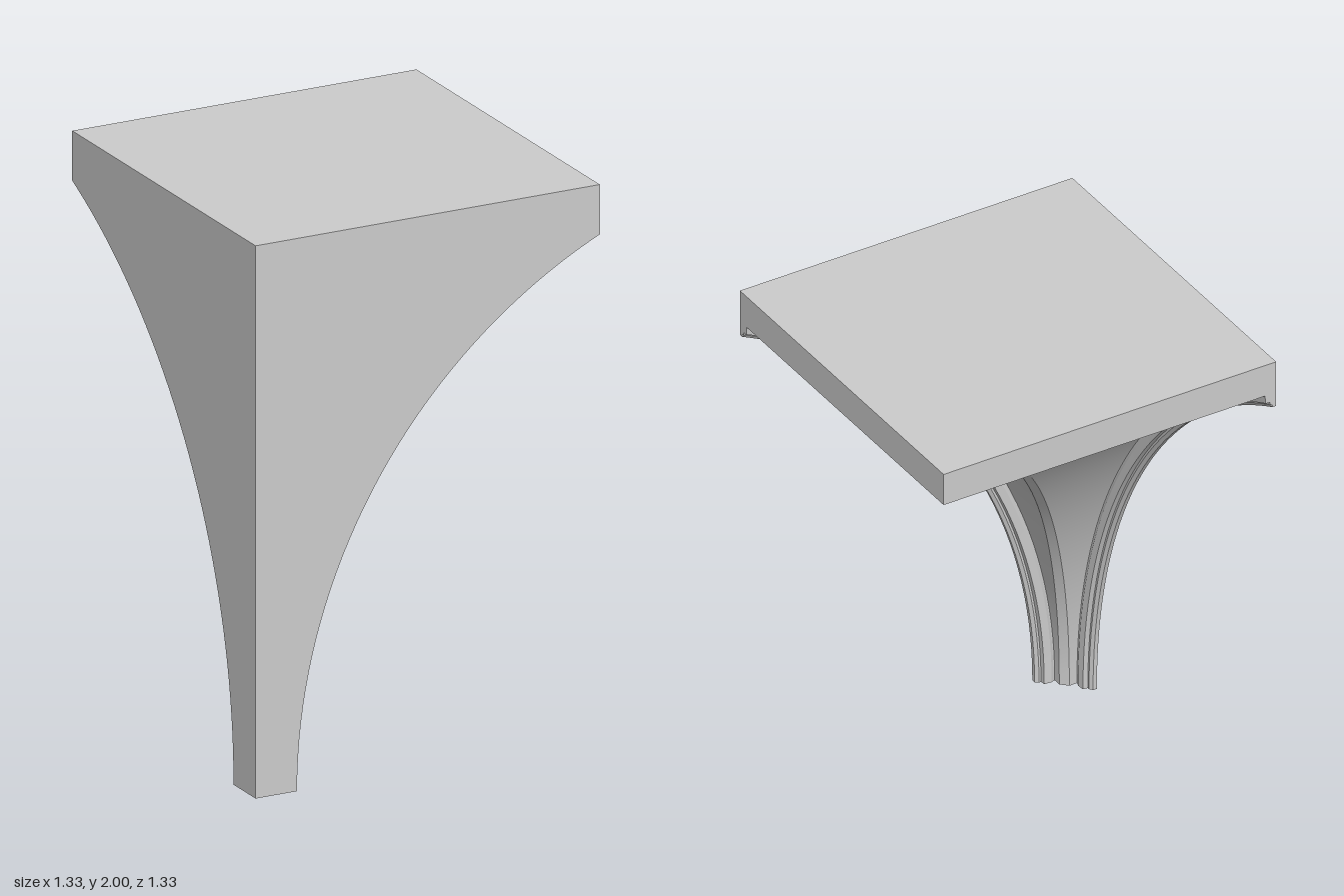
import * as THREE from 'three';
import { toCreasedNormals } from 'three/addons/utils/BufferGeometryUtils.js';

const H = 0.665;        // half width of the square bay
const CENTRE = 1.495;   // arch centre, measured along the wall
const R = 2;            // arch radius
const SLAB_Y = 1.875;   // underside of the slab

// Position along the wall of an arc set back by d, at height y
const arc = (d, y) => Math.min(H, CENTRE - Math.sqrt((R + d) ** 2 - y * y));

// Heights of the cross-sections, including where each step reaches the wall end
function heights(setbacks) {
  const ys = [];
  const top = Math.asin(SLAB_Y / R), n = 40;
  for (let i = 0; i <= n; i++) ys.push(R * Math.sin((top * i) / n));
  for (const d of setbacks) {
    const y = Math.sqrt((R + d) ** 2 - (CENTRE - H) ** 2);
    if (y < SLAB_Y - 0.001) ys.push(y);
  }
  return [...new Set(ys)].sort((a, b) => a - b);
}

// Closed solid from horizontal outlines: section(y) returns [x, z] pairs
function loft(ys, section) {
  const rings = ys.map((y) => section(y).map(([x, z]) => new THREE.Vector3(x, y, z)));
  const tris = [];
  const m = rings[0].length;
  for (let j = 0; j < rings.length - 1; j++) {
    for (let i = 0; i < m; i++) {
      const k = (i + 1) % m;
      const a = rings[j][i], b = rings[j][k], c = rings[j + 1][k], d = rings[j + 1][i];
      tris.push([a, b, c], [a, c, d]);
    }
  }
  // bottom cap; the top is buried in the slab
  const base = rings[0];
  const flat = base.map((p) => new THREE.Vector2(p.x, p.z));
  const ccw = THREE.ShapeUtils.area(flat) > 0;
  for (const f of THREE.ShapeUtils.triangulateShape(flat, [])) {
    const t = f.map((i) => base[i]);
    const [p, q, r] = t;
    const down = (q.x - p.x) * (r.z - p.z) - (q.z - p.z) * (r.x - p.x) > 0;
    tris.push(down ? t : [p, r, q]);
  }
  // side faces turn outward according to the outline direction
  const sides = (rings.length - 1) * m * 2;
  const pos = [];
  tris.forEach(([a, b, c], i) => {
    const order = i < sides && ccw ? [a, c, b] : [a, b, c];
    for (const p of order) pos.push(p.x, p.y, p.z);
  });
  const g = new THREE.BufferGeometry();
  g.setAttribute('position', new THREE.Float32BufferAttribute(pos, 3));
  return toCreasedNormals(g, 0.3);
}

export function createModel() {
  const group = new THREE.Group();
  const mat = new THREE.MeshStandardMaterial({ color: 0xcccccc });
  const add = (geo, name) => {
    const mesh = new THREE.Mesh(geo, mat);
    mesh.name = name;
    group.add(mesh);
    return mesh;
  };

  // Flat slab on top
  add(new THREE.BoxGeometry(2 * H, 2 - SLAB_Y, 2 * H), 'slab').position.y = (2 + SLAB_Y) / 2;

  // Wall arches with stepped moulding: [setback, distance from wall face]
  const moulding = [
    [0, 0], [0, 0.015], [0.012, 0.024], [0.02, 0.024],
    [0.022, 0.042], [0.05, 0.045], [0.06, 0.04], [0.068, 0.04],
  ];
  const archSection = (y) => [
    [-H, H],
    ...moulding.map(([d, t]) => [arc(d, y), H - t]),
    [-H, H - 0.04],
  ];
  const ys = heights(new Set(moulding.map(([d]) => d)));
  add(loft(ys, archSection), 'frontWallArch');
  // the side arch is the front one mirrored across the diagonal
  add(loft(ys, (y) => archSection(y).map(([x, z]) => [-z, -x])), 'sideWallArch');

  // Groin vault web: two crossing barrels with a chamfered diagonal edge
  const SETBACK = 0.065, CHAMFER = 0.025;
  add(loft(heights([]), (y) => {
    const a = arc(SETBACK, y);
    return [[-H, H], [a, H], [a, -a + CHAMFER], [a - CHAMFER, -a], [-H, -a]];
  }), 'vaultWeb');

  return group;
}
